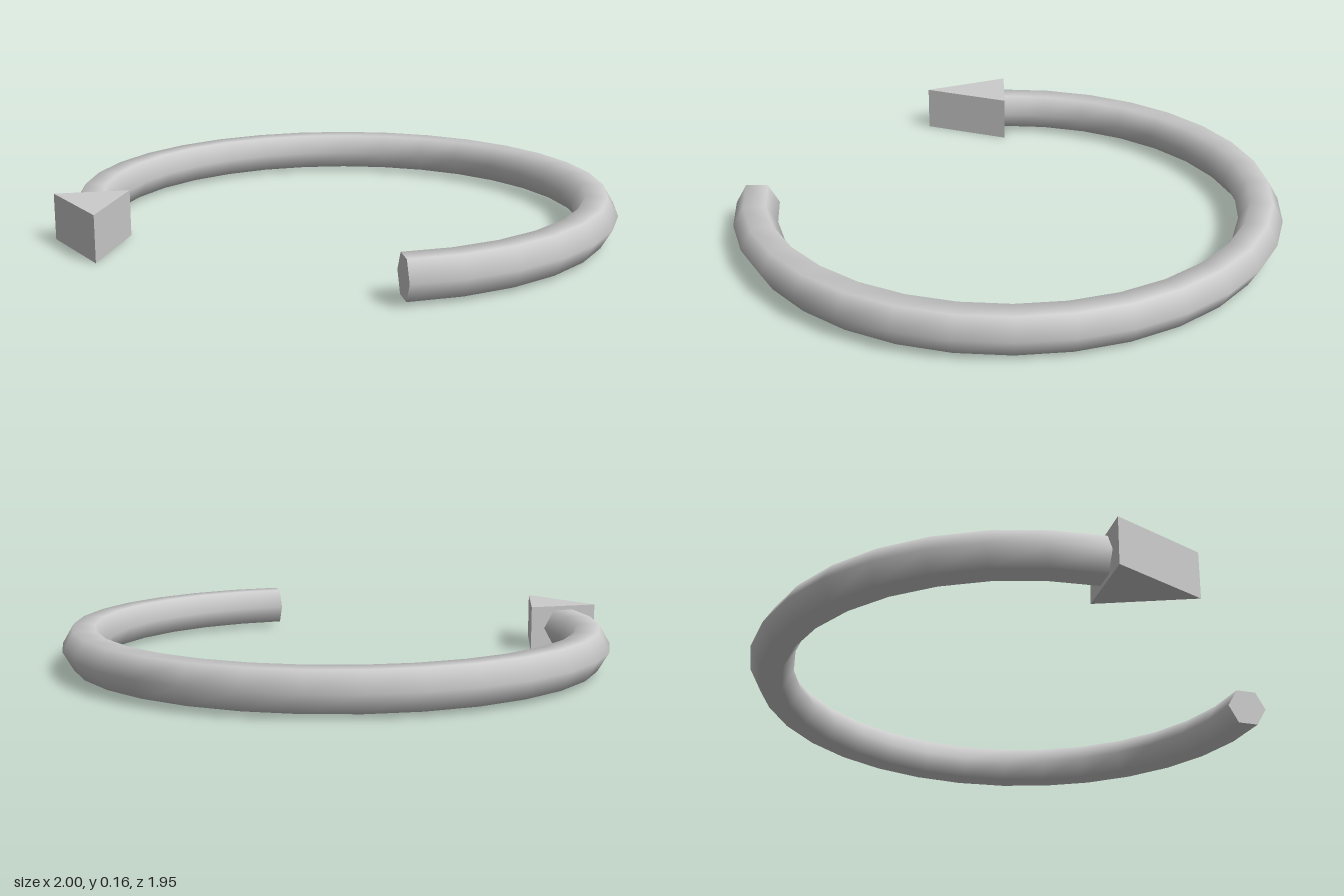
import * as THREE from 'three';

const RADIUS = 0.896, TUBE = 0.077, CENTER_X = 0.027, MID_Y = 0.082;

export function createModel() {
  const group = new THREE.Group();
  const material = new THREE.MeshStandardMaterial({ color: 0xcccccc });
  const add = (name, geometry) => {
    const mesh = new THREE.Mesh(geometry, material);
    mesh.name = name;
    group.add(mesh);
  };

  // Three-quarter ring with a six-sided section, from +z round the back to -x
  const ring = new THREE.TorusGeometry(RADIUS, TUBE, 6, 24, Math.PI * 1.5);
  ring.rotateX(-Math.PI / 2).rotateY(-Math.PI / 2).translate(CENTER_X, MID_Y, 0);
  add('arrowShaft', ring);

  // Flat cap closing the tail, facing -x
  const cap = new THREE.CircleGeometry(TUBE, 6);
  cap.rotateY(-Math.PI / 2).translate(CENTER_X, MID_Y, RADIUS);
  add('tailCap', cap);

  // Triangular prism head pointing to +z
  const triangle = new THREE.Shape([
    new THREE.Vector2(-0.13, 0),
    new THREE.Vector2(0.13, 0),
    new THREE.Vector2(0, 0.315),
  ]);
  const head = new THREE.ExtrudeGeometry(triangle, { depth: MID_Y * 2, bevelEnabled: false });
  head.rotateX(Math.PI / 2).translate(CENTER_X - RADIUS, MID_Y * 2, 0);
  add('arrowHead', head);

  return group;
}
